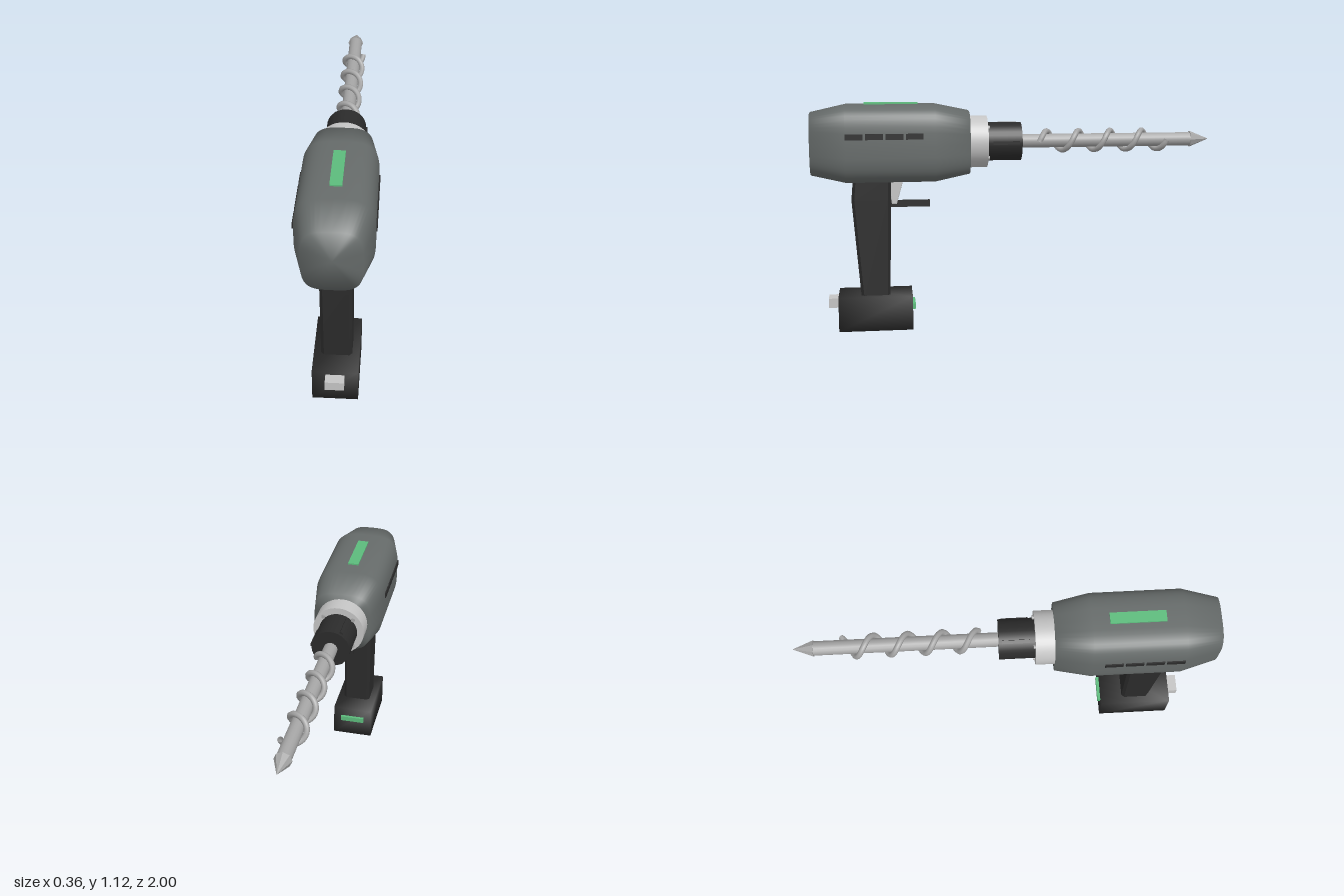
import * as THREE from 'three';
import { mergeVertices, toCreasedNormals } from 'three/addons/utils/BufferGeometryUtils.js';

const AXIS_Y = 0.925; // height of the drill axis

// Skin a stack of matching rings and close both ends with shared vertices
function loft(rings) {
  const n = rings[0].length, pos = [], idx = [];
  rings.forEach(r => r.forEach(p => pos.push(...p)));
  for (let i = 0; i < rings.length - 1; i++) {
    for (let j = 0; j < n; j++) {
      const k = (j + 1) % n, a = i * n, c = a + n;
      idx.push(a + j, c + j, a + k, a + k, c + j, c + k);
    }
  }
  [rings[0], rings[rings.length - 1]].forEach((ring, end) => {
    const centre = pos.length / 3, base = end ? (rings.length - 1) * n : 0;
    pos.push(...[0, 1, 2].map(c => ring.reduce((s, p) => s + p[c], 0) / n));
    for (let j = 0; j < n; j++) {
      const k = (j + 1) % n;
      if (end) idx.push(centre, base + k, base + j);
      else idx.push(centre, base + j, base + k);
    }
  });
  const g = new THREE.BufferGeometry();
  g.setAttribute('position', new THREE.Float32BufferAttribute(pos, 3));
  g.setIndex(idx);
  g.computeVertexNormals();
  return g;
}

// Squarish superellipse ring at depth z
function bodyRing(z, w, h) {
  const ring = [], e = 2 / 3.5;
  for (let i = 0; i < 48; i++) {
    const t = (i / 48) * Math.PI * 2, c = Math.cos(t), s = Math.sin(t);
    ring.push([w * Math.sign(c) * Math.abs(c) ** e, AXIS_Y + h * Math.sign(s) * Math.abs(s) ** e, z]);
  }
  return ring;
}

// Chamfered rectangle ring at height y
function gripRing(y, zFront, zBack) {
  const w = 0.073, b = 0.014;
  return [
    [w, y, zFront - b], [w, y, zBack + b], [w - b, y, zBack], [b - w, y, zBack],
    [-w, y, zBack + b], [-w, y, zFront - b], [b - w, y, zFront], [w - b, y, zFront],
  ];
}

// Cylinder lying on the drill axis between two depths
function axial(r0, r1, z0, z1, sides) {
  const g = new THREE.CylinderGeometry(r1, r0, z0 - z1, sides);
  g.rotateX(-Math.PI / 2);
  g.translate(0, AXIS_Y, (z0 + z1) / 2);
  return g;
}

// Box given by its limits on each axis
function box(x0, x1, y0, y1, z0, z1) {
  const g = new THREE.BoxGeometry(x1 - x0, y1 - y0, z1 - z0);
  g.translate((x0 + x1) / 2, (y0 + y1) / 2, (z0 + z1) / 2);
  return g;
}

export function createModel() {
  const group = new THREE.Group();
  const material = (name, color) => {
    const m = new THREE.MeshStandardMaterial({ color });
    m.name = name;
    return m;
  };
  const grey = material('housingGrey', 0x666b6a);
  const dark = material('rubberBlack', 0x2b2b2b);
  const light = material('lightGrey', 0xc4c4c4);
  const steel = material('steel', 0xa6a6a6);
  const green = material('accentGreen', 0x5cbb7c);
  const add = (name, geometry, mat) => {
    const mesh = new THREE.Mesh(geometry, mat);
    mesh.name = name;
    group.add(mesh);
    return mesh;
  };

  // Motor housing, tapered at both ends
  add('housing', loft([
    bodyRing(1.0, 0.13, 0.152), bodyRing(0.83, 0.174, 0.19),
    bodyRing(0.4, 0.174, 0.19), bodyRing(0.23, 0.143, 0.155),
  ]), grey);
  add('topStripe', box(-0.027, 0.027, 1.113, 1.122, 0.48, 0.74), green);

  // Cooling vents on both sides
  for (const side of [-1, 1]) {
    for (let i = 0; i < 4; i++) {
      const z = 0.788 - i * 0.096, x = side * 0.172;
      add('vent', box(x - 0.007, x + 0.007, 0.955, 0.983, z - 0.042, z + 0.042), dark);
    }
  }

  // Collar with four screws
  add('collar', axial(0.128, 0.128, 0.235, 0.14, 40), light);
  for (let i = 0; i < 4; i++) {
    const a = Math.PI / 4 + i * Math.PI / 2;
    const screw = axial(0.01, 0.01, 0.15, 0.131, 10);
    screw.translate(0.105 * Math.cos(a), 0.105 * Math.sin(a), 0);
    add('collarScrew', screw, steel);
  }

  // Chuck with three grip ribs
  add('chuck', axial(0.095, 0.095, 0.15, -0.03, 32), dark);
  for (let i = 0; i < 3; i++) {
    const rib = box(0.085, 0.103, -0.008, 0.008, -0.015, 0.115);
    rib.rotateZ(i * Math.PI * 2 / 3);
    rib.translate(0, AXIS_Y, 0);
    add('chuckRib', rib, dark);
  }

  // Drill bit: shaft, point and spiral flute
  add('bitShaft', axial(0.034, 0.034, -0.02, -0.9, 16), steel);
  add('bitPoint', toCreasedNormals(axial(0.041, 0, -0.9, -1.0, 8), 0.3), steel);
  const spiral = [];
  for (let i = 0; i <= 64; i++) {
    const t = i / 64, a = t * Math.PI * 8;
    spiral.push(new THREE.Vector3(0.048 * Math.cos(a), AXIS_Y + 0.048 * Math.sin(a), -0.12 - 0.65 * t));
  }
  const flute = add('bitFlute', new THREE.TubeGeometry(new THREE.CatmullRomCurve3(spiral), 128, 0.014, 8), steel);
  flute.material = steel.clone();
  flute.material.name = 'fluteSteel';
  flute.material.side = THREE.DoubleSide;

  // Grip
  add('grip', toCreasedNormals(loft([
    gripRing(0.76, 0.8, 0.615), gripRing(0.65, 0.81, 0.618), gripRing(0.16, 0.772, 0.63),
  ]), 0.5), dark);

  // Trigger wedge and the lever below it
  const wedge = new THREE.Shape([[0.63, 0.75], [0.61, 0.625], [0.592, 0.625], [0.556, 0.75]]
    .map(([z, y]) => new THREE.Vector2(-z, y)));
  const trigger = new THREE.ExtrudeGeometry(wedge, {
    depth: 0.036, bevelEnabled: true, bevelSize: 0.004, bevelThickness: 0.006, bevelSegments: 2,
  });
  trigger.translate(0, 0, -0.018);
  trigger.rotateY(Math.PI / 2);
  add('trigger', trigger, light);
  add('triggerLever', box(-0.018, 0.018, 0.606, 0.636, 0.425, 0.63), dark);

  // Battery pack with softly shaded corners
  const pack = box(-0.107, 0.107, 0, 0.172, 0.52, 0.885);
  pack.deleteAttribute('normal');
  pack.deleteAttribute('uv');
  const battery = mergeVertices(pack);
  battery.computeVertexNormals();
  add('battery', battery, dark);
  add('batteryLatch', box(-0.044, 0.044, 0.108, 0.155, 0.88, 0.935), light);
  add('batteryIndicator', box(-0.065, 0.065, 0.095, 0.122, 0.505, 0.525), green);

  return group;
}
